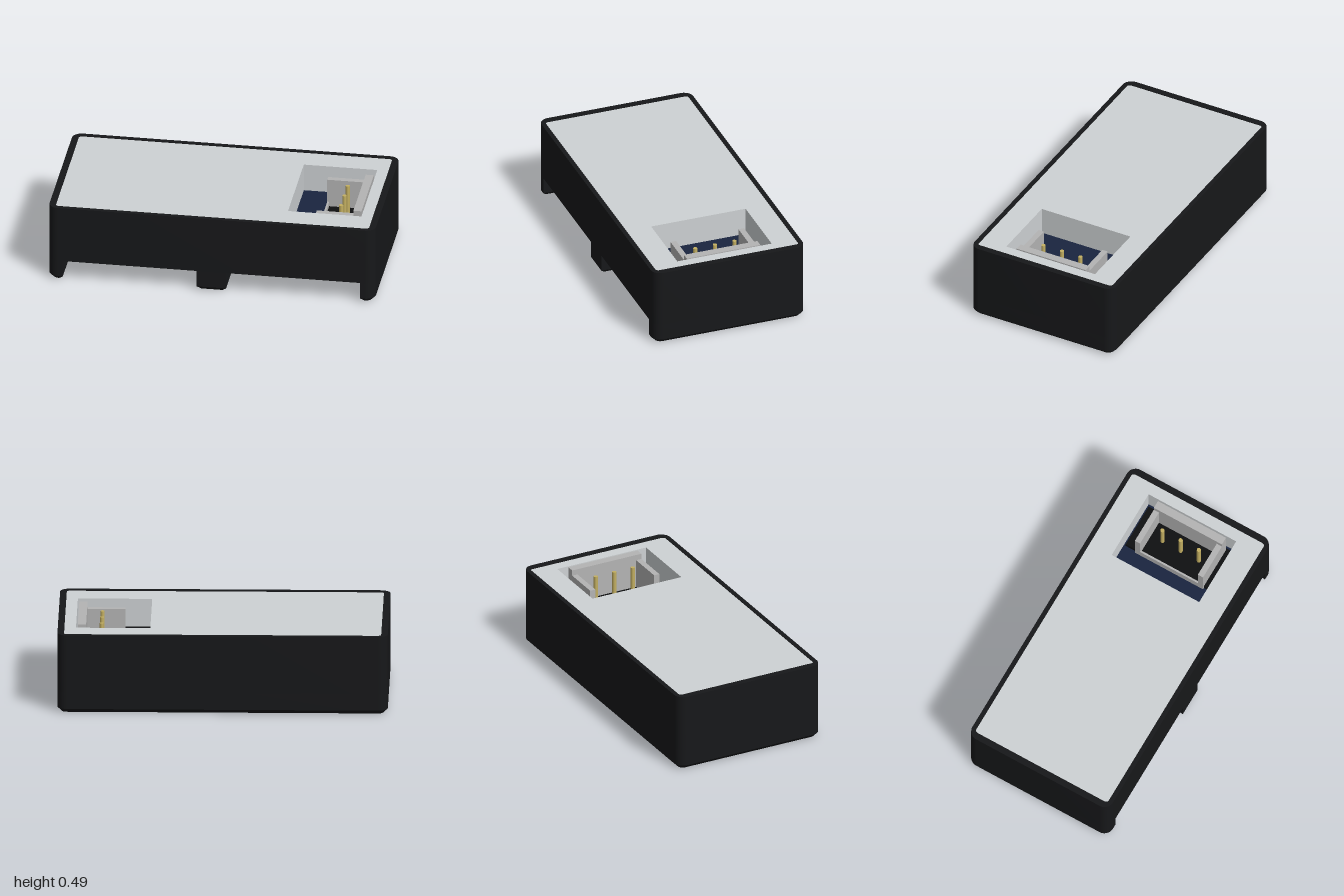
import * as THREE from 'three';
import { toCreasedNormals } from 'three/addons/utils/BufferGeometryUtils.js';

const mat = (color) => new THREE.MeshStandardMaterial({ color });
const black = mat(0x17181a), dark = mat(0x0f1011), navy = mat(0x1a253f);
const lidGrey = mat(0xced2d4), shellGrey = mat(0xb4b4b4), gold = mat(0xc4b062);

const W = 1, D = 0.49, H = 0.49, R = 0.06;
const NOTCH_TOP = 0.13, CHAMFER = 0.025;

export function createModel() {
  const model = new THREE.Group();

  const add = (name, geometry, material, parent = model) => {
    const mesh = new THREE.Mesh(geometry, material);
    mesh.name = name;
    parent.add(mesh);
    return mesh;
  };

  // Box given by its limits on each axis
  const box = (name, x0, x1, y0, y1, z0, z1, material, parent) => {
    const mesh = add(name, new THREE.BoxGeometry(x1 - x0, y1 - y0, z1 - z0), material, parent);
    mesh.position.set((x0 + x1) / 2, (y0 + y1) / 2, (z0 + z1) / 2);
    return mesh;
  };

  // Rounded plan outline; notches are cut into the front edge (shape -y is +z)
  const outline = (w, d, r, notches = []) => {
    const s = new THREE.Shape();
    s.moveTo(-w, -d + r);
    s.absarc(-w + r, -d + r, r, Math.PI, Math.PI * 1.5, false);
    for (const [a, b, back] of notches) {
      s.lineTo(a, -d);
      s.lineTo(a, back);
      s.lineTo(b, back);
      s.lineTo(b, -d);
    }
    s.absarc(w - r, -d + r, r, -Math.PI / 2, 0, false);
    s.absarc(w - r, d - r, r, 0, Math.PI / 2, false);
    s.absarc(-w + r, d - r, r, Math.PI / 2, Math.PI, false);
    return s;
  };

  // Extrude a plan outline upward from height y
  const slab = (shape, y, depth, bevel = 0) => {
    const g = new THREE.ExtrudeGeometry(shape, {
      depth, curveSegments: 8, bevelEnabled: bevel > 0, bevelSegments: 1,
      bevelSize: bevel, bevelThickness: bevel, bevelOffset: -bevel,
    });
    g.rotateX(-Math.PI / 2);
    g.translate(0, y, 0);
    return toCreasedNormals(g, 0.5);
  };

  // Upper case wall
  const wall = outline(W, D, R);
  wall.holes.push(outline(0.96, 0.462, 0.02));
  add('caseWall', slab(wall, NOTCH_TOP, H - NOTCH_TOP), black);

  // Chamfered base with two front openings; its upper bevel sits inside the wall
  const base = outline(W, D, R, [[-0.91, -0.09, 0.2], [0.09, 0.91, 0.2]]);
  add('caseBase', slab(base, CHAMFER, NOTCH_TOP - CHAMFER, CHAMFER), black);

  // Circuit boards: lower one closes the openings, upper one lies under the lid
  box('lowerBoard', -0.96, 0.96, NOTCH_TOP, 0.16, -0.462, 0.462, navy);
  box('upperBoard', -0.96, 0.96, 0.21, 0.24, -0.462, 0.462, navy);

  // Lid with a rectangular window
  const lid = outline(0.96, 0.462, 0.02);
  const win = new THREE.Path();
  win.moveTo(0.44, -0.3);
  win.lineTo(0.44, 0.31);
  win.lineTo(0.89, 0.31);
  win.lineTo(0.89, -0.3);
  lid.holes.push(win);
  add('lid', slab(lid, 0.31, 0.175), lidGrey);

  // Upright three-pin connector in the window
  const connector = new THREE.Group();
  connector.name = 'topConnector';
  model.add(connector);
  box('connectorBase', 0.61, 0.89, 0.24, 0.27, -0.31, 0.3, dark, connector);
  box('connectorBackWall', 0.83, 0.88, 0.27, 0.485, -0.24, 0.235, shellGrey, connector);
  box('connectorLip', 0.6, 0.612, 0.24, 0.3, -0.24, 0.235, shellGrey, connector);
  for (const z of [-0.222, 0.217]) {
    box('connectorSideWall', 0.6, 0.83, 0.27, 0.45, z - 0.018, z + 0.018, shellGrey, connector);
  }
  for (const z of [-0.127, 0, 0.127]) {
    const pin = add('connectorPin', new THREE.CylinderGeometry(0.013, 0.013, 0.2, 12), gold, connector);
    pin.position.set(0.738, 0.36, z);
  }

  // Pin header in one opening, socket strip in the other
  box('pinHeaderBody', -0.9, -0.12, 0.005, NOTCH_TOP, -0.21, -0.02, black);
  box('socketStrip', 0.09, 0.91, 0.03, 0.08, -0.21, -0.17, black);
  for (let i = 0; i < 6; i++) {
    const x = -0.83 + i * 0.129;
    box('headerPin', x - 0.013, x + 0.013, 0.055, 0.081, -0.1, 0.29, gold);
    const s = 0.18 + i * 0.129;
    box('socketHole', s - 0.02, s + 0.02, 0.037, 0.076, -0.175, -0.168, dark);
  }

  return model;
}
